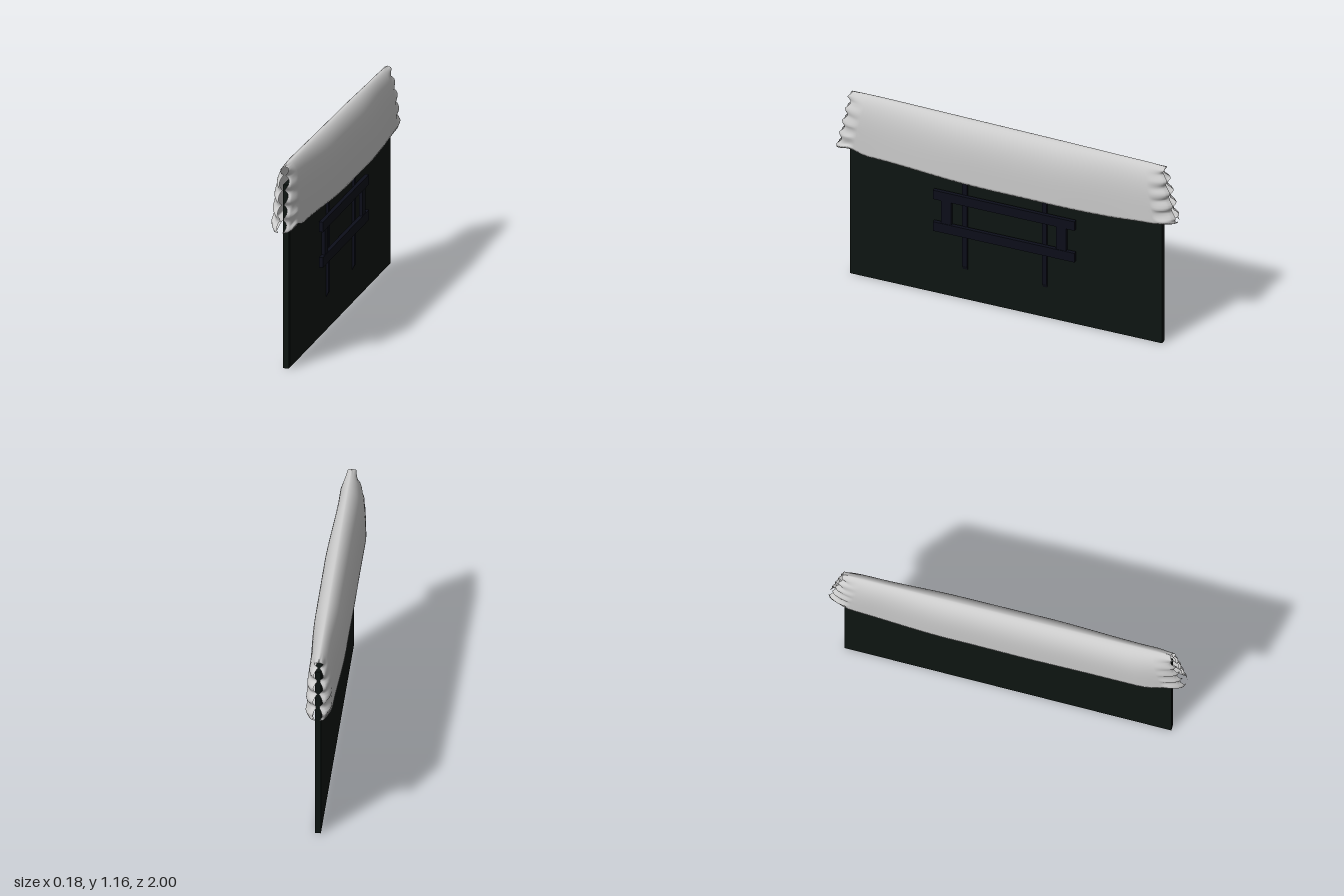
import * as THREE from 'three';

const panelMat = new THREE.MeshStandardMaterial({ color: 0x0e1512 });
const mountMat = new THREE.MeshStandardMaterial({ color: 0x0c0e1a });
const coverMat = new THREE.MeshStandardMaterial({ color: 0xcccccc, side: THREE.DoubleSide });

// Box given by its limits on each axis
function box(name, mat, [x0, x1], [y0, y1], [z0, z1]) {
  const mesh = new THREE.Mesh(new THREE.BoxGeometry(x1 - x0, y1 - y0, z1 - z0), mat);
  mesh.position.set((x0 + x1) / 2, (y0 + y1) / 2, (z0 + z1) / 2);
  mesh.name = name;
  return mesh;
}

// Smoothly blended lookup in a short list of [position, value] pairs
function sample(table, p) {
  if (p <= table[0][0]) return table[0][1];
  for (let i = 1; i < table.length; i++) {
    const [a, va] = table[i - 1], [b, vb] = table[i];
    if (p <= b) return va + (vb - va) * THREE.MathUtils.smoothstep(p, a, b);
  }
  return table[table.length - 1][1];
}

// Half widths and hem height of the cover along z
const widthLeft = [[-1, 0.065], [-0.8, 0.07], [-0.3, 0.088], [0.2, 0.088], [0.85, 0.065], [1, 0.06]];
const widthRight = [[-1, 0.06], [-0.8, 0.07], [-0.3, 0.087], [0.3, 0.09], [0.75, 0.093], [1, 0.065]];
const hem = [[-1, 0.79], [-0.9, 0.785], [-0.6, 0.77], [0, 0.775], [0.8, 0.8], [0.9, 0.825], [1, 0.8]];

// One point of the cover: u runs along z, h runs up the sheet, side is +1 or -1
function coverPoint(u, h, side, lip) {
  const e = THREE.MathUtils.clamp((Math.abs(u) - 0.88) / 0.12, 0, 1);
  const end = Math.sign(u);
  const y0 = sample(hem, u);
  const top = 1.14 + 0.016 * u;
  const body = sample(side > 0 ? widthLeft : widthRight, u) * Math.pow(1 - Math.pow(h, 4), 0.6);
  // the ends gather into pinches with small gaps between them
  const gap = h > 0.98 ? 0 : 0.004 + 0.022 * Math.abs(Math.sin(h * Math.PI * 4.5 + 0.4));
  const round = Math.sqrt(1 - e * e);
  let x = Math.min(body, gap) * (1 - round) + body * round;
  x += e * (1 - e) * 0.035 * Math.sin(h * 27 + side + end) * (1 - h);
  if (lip) x = Math.min(x, 0.026);
  const jag = e * e * 0.011 * (Math.sin(h * 28 + end) - 1) * (h > 0.02 ? 1 : 0);
  const z = u * (1 - 0.075 * h) + end * jag;
  const y = y0 + (top - y0) * h + (lip ? 0.006 : 0) + e * (1 - e) * 0.02 * Math.sin(h * 35 + side) * (1 - h);
  return [side * x, y, z];
}

// Draped sheet: cross-sections joined along z, hem folded in towards the panel
function coverGeometry() {
  const rows = [];
  const n = 44;
  for (let j = 0; j <= n; j++) rows.push([Math.sin((j / n) * Math.PI / 2), -1, false]);
  for (let j = n - 1; j >= 0; j--) rows.push([Math.sin((j / n) * Math.PI / 2), 1, false]);
  rows.unshift([0, -1, true]);
  rows.push([0, 1, true]);

  const stations = [];
  for (let i = 0; i <= 12; i++) stations.push(-1 + 0.12 * i / 12);
  for (let i = 1; i < 40; i++) stations.push(-0.88 + 1.76 * i / 40);
  for (let i = 0; i <= 12; i++) stations.push(0.88 + 0.12 * i / 12);

  const pos = [], index = [], m = rows.length;
  for (const u of stations) for (const [h, side, lip] of rows) pos.push(...coverPoint(u, h, side, lip));
  for (let i = 0; i < stations.length - 1; i++) {
    for (let j = 0; j < m - 1; j++) {
      const a = i * m + j, b = a + 1, c = a + m, d = c + 1;
      index.push(a, c, b, b, c, d);
    }
  }
  const geo = new THREE.BufferGeometry();
  geo.setAttribute('position', new THREE.Float32BufferAttribute(pos, 3));
  geo.setIndex(index);
  geo.computeVertexNormals();
  return geo;
}

// Upright channel with a slanted foot
function channel(z) {
  const s = new THREE.Shape();
  s.moveTo(0.022, 0.19);
  s.lineTo(0.036, 0.22);
  s.lineTo(0.036, 0.83);
  s.lineTo(0.022, 0.86);
  s.closePath();
  const geo = new THREE.ExtrudeGeometry(s, { depth: 0.028, bevelEnabled: false });
  const mesh = new THREE.Mesh(geo, mountMat);
  mesh.position.z = z - 0.014;
  mesh.name = 'mountChannel';
  return mesh;
}

export function createModel() {
  const model = new THREE.Group();
  model.name = 'coveredScreen';

  // Flat panel with a thin rim around its back
  const panel = new THREE.Group();
  panel.name = 'panel';
  panel.add(
    box('panelBody', panelMat, [-0.011, 0.021], [0, 1.05], [-0.912, 0.917]),
    box('backPlate', panelMat, [0.02, 0.023], [0.02, 1.03], [-0.9, 0.905])
  );
  model.add(panel);

  // Wall mount
  const mount = new THREE.Group();
  mount.name = 'wallMount';
  for (const z of [0.24, -0.228]) mount.add(channel(z));
  for (const [y0, y1] of [[0.415, 0.473], [0.618, 0.675]])
    mount.add(box('mountRail', mountMat, [0.034, 0.056], [y0, y1], [-0.413, 0.416]));
  for (const [z0, z1] of [[-0.362, -0.303], [0.312, 0.37]])
    mount.add(box('mountPost', mountMat, [0.034, 0.053], [0.47, 0.62], [z0, z1]));
  model.add(mount);

  // Loose cover over the top
  const cover = new THREE.Mesh(coverGeometry(), coverMat);
  cover.name = 'cover';
  model.add(cover);

  return model;
}
